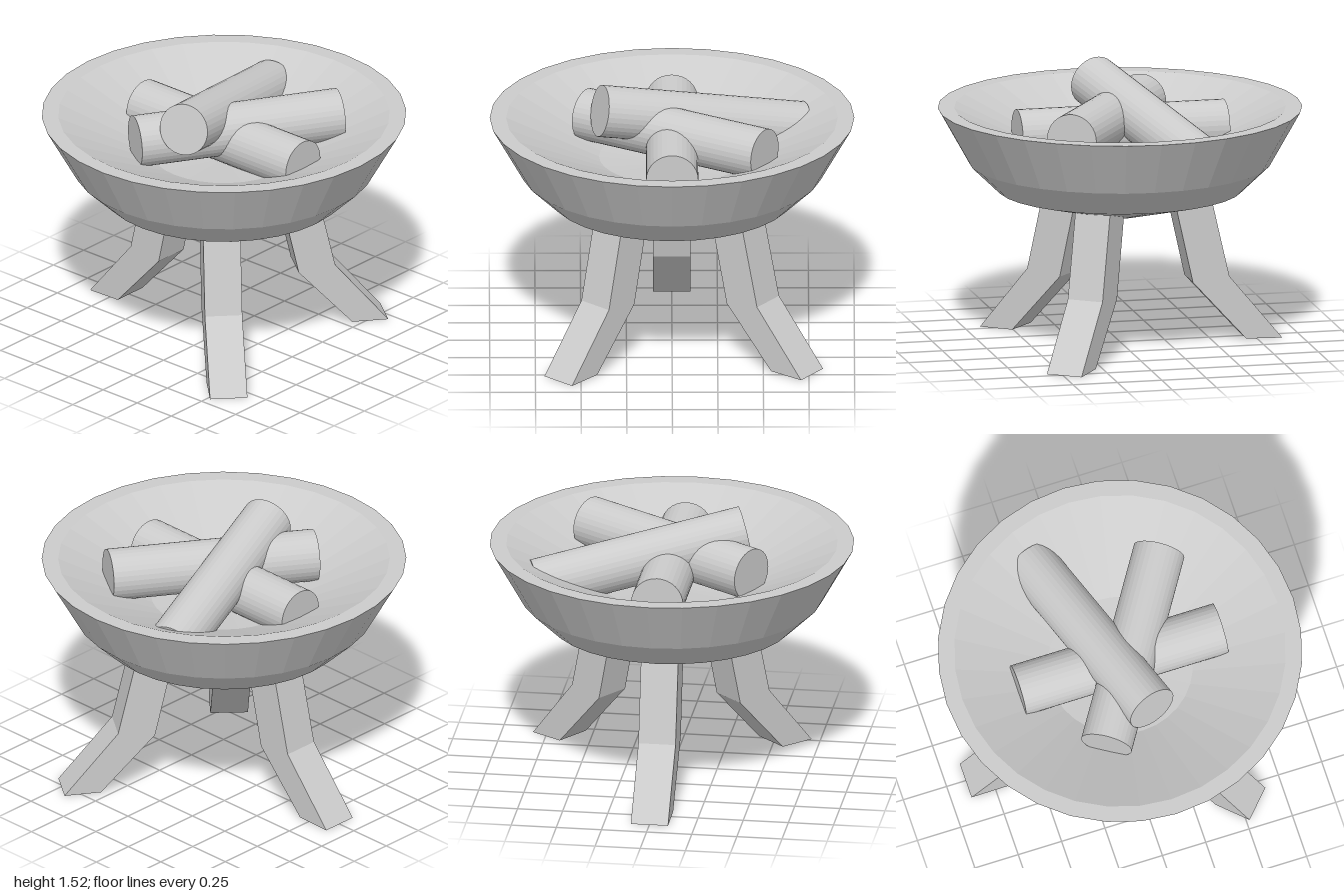
import * as THREE from 'three';

const material = new THREE.MeshStandardMaterial({ color: 0xcccccc, flatShading: true });

function addMesh(parent, geometry, name) {
  const mesh = new THREE.Mesh(geometry, material);
  mesh.name = name;
  parent.add(mesh);
  return mesh;
}

// Cylinder with its axis running between two points
function addLog(parent, from, to, name) {
  const a = new THREE.Vector3(...from);
  const b = new THREE.Vector3(...to);
  const axis = b.clone().sub(a);
  const log = addMesh(parent, new THREE.CylinderGeometry(0.143, 0.143, axis.length(), 32), name);
  log.position.copy(a).add(b).multiplyScalar(0.5);
  log.quaternion.setFromUnitVectors(new THREE.Vector3(0, 1, 0), axis.normalize());
}

export function createModel() {
  const model = new THREE.Group();
  model.name = 'firePit';

  // Bowl: faceted outside, flat rim, shallow conical inside that half buries the logs
  const profile = [
    [0, 0.713], [0.1, 0.713], [0.675, 0.865], [0.83, 1.015], [1, 1.32],
    [0.91, 1.32], [0.4, 1.09], [0, 1.05],
  ].map(([r, y]) => new THREE.Vector2(r, y));
  addMesh(model, new THREE.LatheGeometry(profile, 32), 'bowl');

  // Legs: one bent side outline, extruded to the leg width
  const outline = new THREE.Shape([
    [0.687, 0.005], [0.89, 0], [0.592, 0.36], [0.478, 0.86], [0.275, 0.84], [0.387, 0.335],
  ].map(([r, y]) => new THREE.Vector2(r, y)));
  const legGeometry = new THREE.ExtrudeGeometry(outline, { depth: 0.206, bevelEnabled: false });
  legGeometry.translate(0, 0, -0.103);

  // Direction is in degrees from the front towards the model's left
  const legs = [
    ['backLeg', 180, 0, 0],
    ['leftLeg', 54, 0.047, -0.028],
    ['rightLeg', -43, -0.018, -0.062],
  ];
  for (const [name, degrees, x, z] of legs) {
    const leg = addMesh(model, legGeometry, name);
    leg.rotation.y = THREE.MathUtils.degToRad(degrees - 90);
    leg.position.set(x, 0, z);
  }

  // Crossed logs stacked in the bowl
  const logs = new THREE.Group();
  logs.name = 'logs';
  addLog(logs, [0, 1.189, -0.588], [0, 1.189, 0.579], 'bottomLog');
  addLog(logs, [-0.472, 1.248, -0.232], [0.507, 1.262, 0.391], 'middleLog');
  addLog(logs, [-0.395, 1.383, 0.055], [0.71, 1.143, -0.29], 'topLog');
  model.add(logs);

  return model;
}
